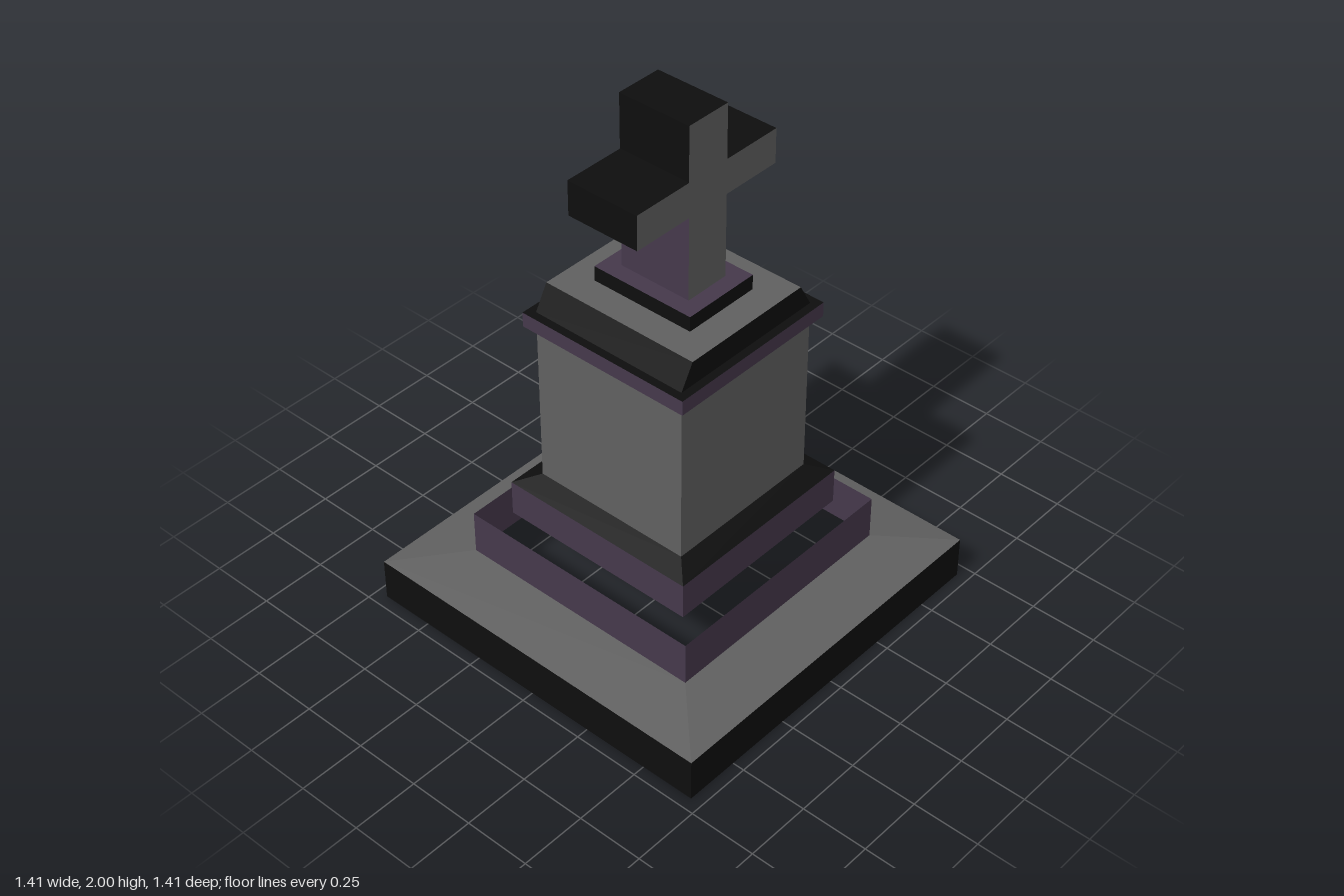
import * as THREE from 'three';

function flat(name, color) {
  const m = new THREE.MeshStandardMaterial({ color, side: THREE.DoubleSide, flatShading: true });
  m.name = name;
  return m;
}

// Four walls joining a lower rectangle to an upper one; each is [halfX, halfZ, y]
function bandGeometry([x0, z0, y0], [x1, z1, y1]) {
  const signs = [[-1, 1], [1, 1], [1, -1], [-1, -1]];
  const pos = [];
  for (let i = 0; i < 4; i++) {
    const [ax, az] = signs[i], [bx, bz] = signs[(i + 1) % 4];
    const a = [ax * x0, y0, az * z0], b = [bx * x0, y0, bz * z0];
    const c = [bx * x1, y1, bz * z1], d = [ax * x1, y1, az * z1];
    pos.push(...a, ...b, ...c, ...a, ...c, ...d);
  }
  const g = new THREE.BufferGeometry();
  g.setAttribute('position', new THREE.Float32BufferAttribute(pos, 3));
  g.computeVertexNormals();
  return g;
}

export function createModel() {
  const model = new THREE.Group();
  model.name = 'graveMonument';
  const grey = flat('greyStone', 0x606060);
  const purple = flat('purpleStone', 0x45384b);
  const black = flat('blackStone', 0x0e0e0e);

  const band = (name, material, lower, upper) => {
    const mesh = new THREE.Mesh(bandGeometry(lower, upper), material);
    mesh.name = name;
    model.add(mesh);
  };

  // Hollow base and two open plinth steps
  band('baseWall', black, [0.705, 0.705, 0], [0.705, 0.705, 0.162]);
  band('baseSlope', grey, [0.705, 0.705, 0.162], [0.48, 0.48, 0.2]);
  band('lowerPlinth', purple, [0.48, 0.48, 0.2], [0.48, 0.48, 0.365]);
  band('upperPlinth', purple, [0.386, 0.386, 0.365], [0.386, 0.386, 0.5]);
  band('plinthSlope', black, [0.386, 0.386, 0.5], [0.311, 0.311, 0.533]);

  // Shaft and cornice
  band('shaft', grey, [0.311, 0.311, 0.533], [0.311, 0.311, 1.155]);
  band('corniceUnderside', black, [0.311, 0.311, 1.155], [0.342, 0.342, 1.155]);
  band('corniceEdge', purple, [0.342, 0.342, 1.155], [0.342, 0.342, 1.21]);
  band('corniceTop', black, [0.342, 0.342, 1.21], [0.311, 0.311, 1.21]);

  // Cap tapering sideways only, then the step under the cross
  band('capWall', black, [0.311, 0.311, 1.21], [0.26, 0.311, 1.3]);
  band('capTop', grey, [0.26, 0.311, 1.3], [0.15, 0.203, 1.3]);
  band('crossStepWall', black, [0.15, 0.203, 1.3], [0.15, 0.203, 1.356]);
  band('crossStepTop', purple, [0.15, 0.203, 1.356], [0.088, 0.142, 1.356]);

  // Cross blocks; face materials run +x, -x, top, bottom, front, back
  const block = (name, halfX, y0, y1, right, left) => {
    const g = new THREE.BoxGeometry(halfX * 2, y1 - y0, 0.284);
    const mesh = new THREE.Mesh(g, [right, left, black, purple, grey, purple]);
    mesh.name = name;
    mesh.position.y = (y0 + y1) / 2;
    model.add(mesh);
  };
  block('crossPost', 0.088, 1.356, 1.668, purple, purple);
  block('crossArms', 0.322, 1.668, 1.797, black, black);
  block('crossHead', 0.088, 1.797, 2, purple, black);

  return model;
}
